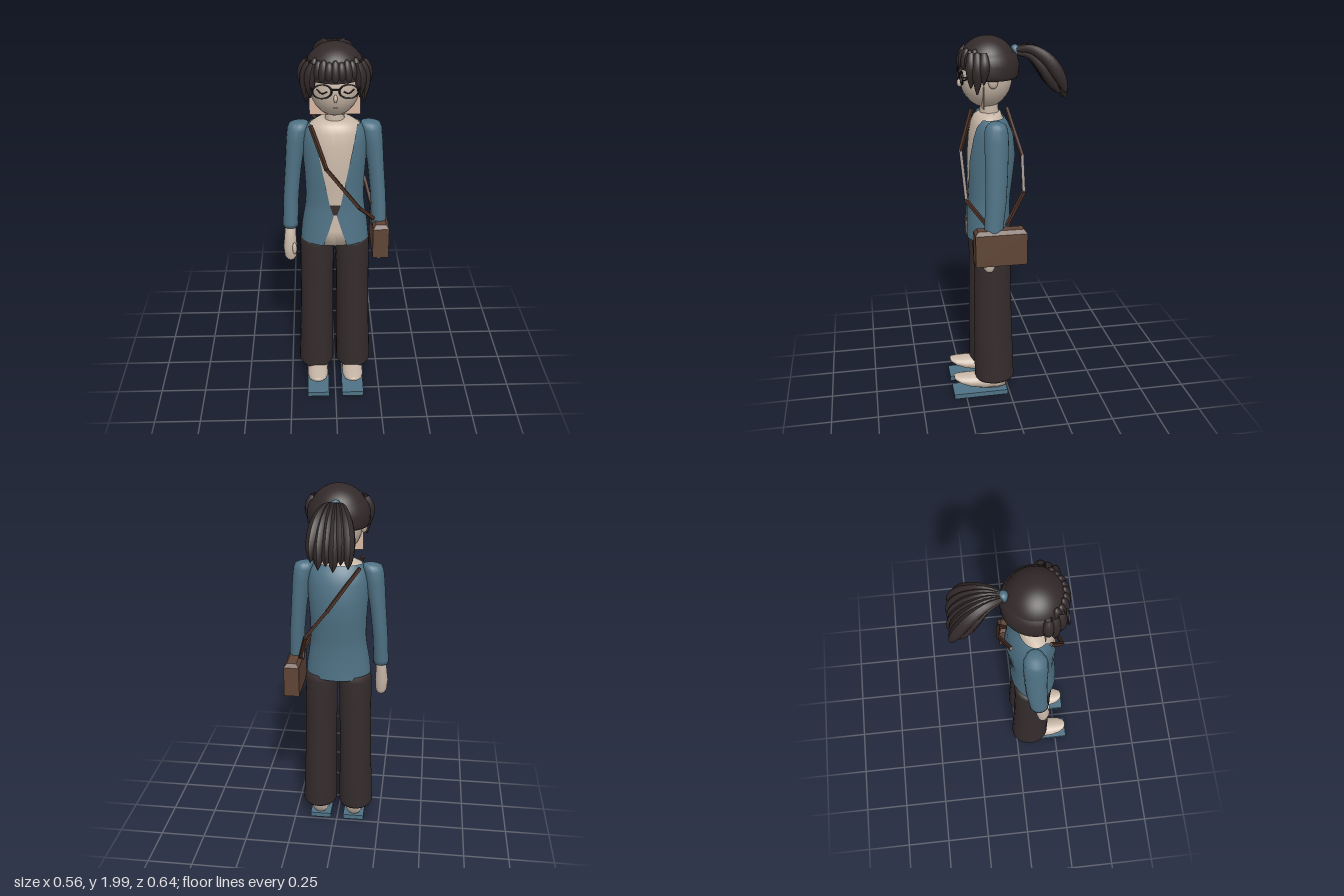
import * as THREE from 'three';

const mat = (name, color, double) => {
  const m = new THREE.MeshStandardMaterial({ color });
  m.name = name;
  if (double) m.side = THREE.DoubleSide;
  return m;
};

export function createModel() {
  const root = new THREE.Group();
  const skin = mat('skin', 0xc9b8a8, true);
  const cloth = mat('blue cloth', 0x4f7285, true);
  const trousers = mat('dark trousers', 0x352c2c, true);
  const hair = mat('dark hair', 0x332a2a, true);
  const leather = mat('brown leather', 0x5f4436);
  const strapMat = mat('dark leather', 0x4b3026);
  const frame = mat('black frame', 0x1c1718);
  const blush = mat('warm skin', 0xd9b8a2);

  const add = (name, geo, m, x = 0, y = 0, z = 0, parent = root) => {
    const mesh = new THREE.Mesh(geo, m);
    mesh.name = name;
    mesh.position.set(x, y, z);
    parent.add(mesh);
    return mesh;
  };
  const blob = (name, m, x, y, z, rx, ry, rz, parent = root) => {
    const b = add(name, new THREE.SphereGeometry(1, 20, 14), m, x, y, z, parent);
    b.scale.set(rx, ry, rz);
    return b;
  };

  // Skin over elliptical rings [y, centreX, radiusX, frontZ, backZ, front gap half width]
  const loft = (rings, seg = 28, caps = true) => {
    const pos = [], idx = [];
    const ring = ([y, cx, rx, zf, zb, gap = 0], k = 1) => {
      const g = Math.asin(Math.min(1, gap / rx));
      for (let i = 0; i <= seg; i++) {
        const t = g + (2 * Math.PI - 2 * g) * i / seg;
        pos.push(cx + k * rx * Math.sin(t), y, (zf + zb) / 2 + k * (zf - zb) / 2 * Math.cos(t));
      }
    };
    const all = rings.map(r => [r, 1]);
    if (caps) { all.unshift([rings[0], 0.001]); all.push([rings[rings.length - 1], 0.001]); }
    all.forEach(([r, k]) => ring(r, k));
    for (let j = 0; j < all.length - 1; j++) for (let i = 0; i < seg; i++) {
      const a = j * (seg + 1) + i, b = a + seg + 1;
      idx.push(a, a + 1, b, a + 1, b + 1, b);
    }
    const g = new THREE.BufferGeometry();
    g.setAttribute('position', new THREE.Float32BufferAttribute(pos, 3));
    g.setIndex(idx);
    g.computeVertexNormals();
    return g;
  };

  // Tube along points whose radius follows a rule
  const strand = (pts, radius) => {
    const curve = new THREE.CatmullRomCurve3(pts.map(p => new THREE.Vector3(...p)));
    const n = 14, r = 8, g = new THREE.TubeGeometry(curve, n, 1, r), p = g.attributes.position;
    const v = new THREE.Vector3();
    for (let i = 0; i <= n; i++) {
      const c = curve.getPointAt(i / n);
      for (let j = 0; j <= r; j++) {
        const k = i * (r + 1) + j;
        v.fromBufferAttribute(p, k).sub(c).multiplyScalar(radius(i / n)).add(c);
        p.setXYZ(k, v.x, v.y, v.z);
      }
    }
    g.computeVertexNormals();
    return g;
  };

  // Torso and open jacket
  const torso = [
    [0.95, 0, 0.18, 0.225, -0.025, 0.062], [1.03, 0, 0.173, 0.218, -0.02, 0.035],
    [1.12, 0, 0.158, 0.208, -0.02, 0.008], [1.18, 0, 0.151, 0.205, -0.025, 0.028],
    [1.28, 0, 0.153, 0.208, -0.038, 0.047], [1.39, 0, 0.16, 0.21, -0.05, 0.068],
    [1.5, 0, 0.164, 0.2, -0.038, 0.09], [1.56, 0, 0.155, 0.188, -0.012, 0.102],
    [1.595, 0, 0.13, 0.172, 0.01, 0.11]];
  add('jacket', loft(torso, 40, false), cloth);
  const inner = torso.map(([y, cx, rx, zf, zb]) => [y, cx, rx - 0.009, zf - 0.006, zb + 0.009]);
  add('body', loft([...inner, [1.615, 0, 0.085, 0.14, 0.025]]), skin);
  add('waistband', loft([[1.125, 0, 0.153, 0.2055, -0.015], [1.18, 0, 0.147, 0.2025, -0.02]], 40, false), trousers);
  add('neck', new THREE.CylinderGeometry(0.045, 0.05, 0.13, 20), skin, 0, 1.65, 0.085);

  for (const s of [-1, 1]) {
    const side = s > 0 ? 'left' : 'right';
    const mir = rings => rings.map(([y, cx, ...r]) => [y, s * cx, ...r]);
    // Arms
    add(side + 'Sleeve', loft(mir([
      [1.02, 0.234, 0.043, 0.155, 0.055], [1.04, 0.234, 0.041, 0.153, 0.055],
      [1.2, 0.226, 0.041, 0.145, 0.035], [1.35, 0.212, 0.043, 0.14, 0.025],
      [1.5, 0.195, 0.05, 0.142, 0.018], [1.56, 0.185, 0.053, 0.138, 0.02],
      [1.585, 0.178, 0.05, 0.125, 0.03], [1.595, 0.17, 0.035, 0.105, 0.05]]), 16), cloth);
    add(side + 'Hand', loft(mir([
      [0.82, 0.237, 0.018, 0.145, 0.11], [0.84, 0.238, 0.031, 0.16, 0.1],
      [0.9, 0.239, 0.036, 0.165, 0.092], [0.96, 0.237, 0.031, 0.155, 0.088],
      [1.04, 0.234, 0.027, 0.135, 0.08]]), 16), skin);
    blob(side + 'Thumb', skin, s * 0.215, 0.9, 0.157, 0.012, 0.035, 0.013);
    // Legs
    add(side + 'TrouserLeg', loft(mir([
      [0.11, 0.106, 0.095, 0.19, -0.022], [0.12, 0.106, 0.099, 0.195, -0.027],
      [0.35, 0.102, 0.093, 0.195, -0.02], [0.6, 0.098, 0.09, 0.192, -0.012],
      [0.8, 0.096, 0.09, 0.19, -0.01], [0.93, 0.093, 0.092, 0.195, -0.012],
      [0.965, 0.091, 0.086, 0.185, -0.005]]), 24), trousers);
    // Feet and sandals
    const foot = loft([
      [0, 0, 0.045, 0.045, -0.055], [0.04, 0, 0.052, 0.055, -0.055],
      [0.12, 0, 0.058, 0.046, -0.046], [0.2, 0, 0.058, 0.026, -0.047],
      [0.25, 0, 0.048, 0.004, -0.047], [0.28, 0, 0.03, -0.018, -0.047], [0.288, 0, 0.015, -0.03, -0.045]], 20);
    foot.rotateX(Math.PI / 2);
    add(side + 'Foot', foot, skin, s * 0.1, 0.083, 0.025);
    add(side + 'Ankle', new THREE.CylinderGeometry(0.045, 0.052, 0.14, 16), skin, s * 0.1, 0.13, 0.08);
    add(side + 'Sandal', new THREE.BoxGeometry(0.122, 0.028, 0.305), cloth, s * 0.098, 0.02, 0.167);
    // Ears and glasses
    blob(side + 'Ear', skin, s * 0.13, 1.79, 0.085, 0.018, 0.035, 0.025);
    const rim = add(side + 'GlassesRim', new THREE.TorusGeometry(0.045, 0.0045, 6, 28), frame, s * 0.063, 1.803, 0.232);
    rim.scale.y = 0.75;
    add(side + 'GlassesTemple', strand([[s * 0.106, 1.81, 0.232], [s * 0.118, 1.815, 0.2], [s * 0.132, 1.815, 0.1]], () => 0.004), frame);
    add(side + 'ClosedEye', strand([[s * 0.038, 1.803, 0.231], [s * 0.063, 1.79, 0.222], [s * 0.088, 1.803, 0.202]], () => 0.003), frame);
    // Side locks
    for (const [a, len] of [[0.85, 0.16], [1.08, 0.19], [1.3, 0.14]]) {
      const x = s * 0.152 * Math.sin(a), z = 0.09 + 0.152 * Math.cos(a);
      add(side + 'SideLock', strand([[x * 0.92, 1.93, z], [x * 1.04, 1.87, z], [x * 1.04, 1.92 - len, z + 0.004]],
        u => 0.004 + 0.024 * Math.sin(Math.PI * (0.15 + 0.85 * u))), hair);
    }
  }

  // Head and face
  blob('head', skin, 0, 1.8, 0.1, 0.125, 0.16, 0.135);
  blob('nose', skin, 0, 1.768, 0.235, 0.009, 0.02, 0.014);
  add('mouth', new THREE.BoxGeometry(0.024, 0.004, 0.006), blush, 0, 1.715, 0.214);
  add('glassesBridge', new THREE.BoxGeometry(0.04, 0.007, 0.007), frame, 0, 1.813, 0.236);
  add('cheekPlate', new THREE.BoxGeometry(0.25, 0.13, 0.004), blush, 0, 1.715, 0.13);

  // Hair cap, back band and fringe
  const cap = add('hairCap', new THREE.SphereGeometry(1, 36, 16, 0, Math.PI * 2, 0, Math.PI * 0.53), hair, 0, 1.855, 0.092);
  cap.scale.set(0.15, 0.145, 0.148);
  const band = new THREE.LatheGeometry([[0.125, 1.79], [0.15, 1.793], [0.16, 1.81], [0.162, 1.86], [0.152, 1.9], [0.135, 1.92]]
    .map(p => new THREE.Vector2(...p)), 28, 1.15, Math.PI * 2 - 2.3);
  add('backHairBand', band, hair, 0, 0, 0.092);
  for (let i = -4; i <= 4; i++) {
    const a = i * 0.225;
    const b = blob('fringeLock', hair, 0.132 * Math.sin(a), 1.895, 0.092 + 0.133 * Math.cos(a), 0.023, i % 2 ? 0.046 : 0.054, 0.021);
    b.rotation.set(-0.2, a, 0, 'YXZ');
  }

  // Ponytail
  blob('hairTie', cloth, 0, 1.922, -0.05, 0.027, 0.03, 0.024);
  const swell = u => (0.012 + 0.024 * Math.sin(Math.PI * Math.min(1, u * 0.75))) * Math.sqrt(Math.max(0.002, 1 - u ** 5));
  for (let i = 0; i < 6; i++) {
    const f = (i - 2.5) / 2.5, e = i % 2 * 0.025 + 0.02 * Math.abs(f);
    add('ponytailStrand', strand([[f * 0.012, 1.925, -0.05], [f * 0.04, 1.93, -0.125], [f * 0.07, 1.88, -0.205],
      [f * 0.088, 1.79, -0.267], [f * 0.09, 1.665 + e, -0.312 + e * 0.3]], swell), hair);
    if (i < 5) add('ponytailUnderStrand', strand([[f * 0.01, 1.91, -0.05], [f * 0.035, 1.9, -0.125],
      [f * 0.065, 1.84, -0.19], [f * 0.08, 1.76, -0.24], [f * 0.085, 1.69 + e, -0.285]], swell), hair);
  }

  // Shoulder bag with bevelled lid
  add('bag', new THREE.BoxGeometry(0.084, 0.17, 0.27), leather, 0.24, 0.95, 0.07);
  const lid = new THREE.BoxGeometry(0.084, 0.02, 0.27), lp = lid.attributes.position;
  for (let i = 0; i < lp.count; i++) if (lp.getY(i) > 0) {
    lp.setX(i, lp.getX(i) - Math.sign(lp.getX(i)) * 0.016);
    lp.setZ(i, lp.getZ(i) - Math.sign(lp.getZ(i)) * 0.016);
  }
  lid.computeVertexNormals();
  add('bagLid', lid, leather, 0.24, 1.045, 0.07);

  // Strap in straight runs over the front and back
  const runs = [
    [[-0.12, 1.6, 0.16], [-0.045, 1.4, 0.232], [0.12, 1.18, 0.228], [0.205, 1.06, 0.13]],
    [[-0.12, 1.6, -0.03], [0.04, 1.38, -0.083], [0.16, 1.22, -0.068], [0.205, 1.06, 0.03]]];
  for (const run of runs) for (let i = 0; i < 3; i++) {
    const a = new THREE.Vector3(...run[i]), b = new THREE.Vector3(...run[i + 1]);
    const m = add('strap', new THREE.BoxGeometry(0.016, 0.016, a.distanceTo(b) + 0.008), strapMat);
    m.position.copy(a).add(b).multiplyScalar(0.5);
    m.lookAt(b);
  }
  return root;
}
